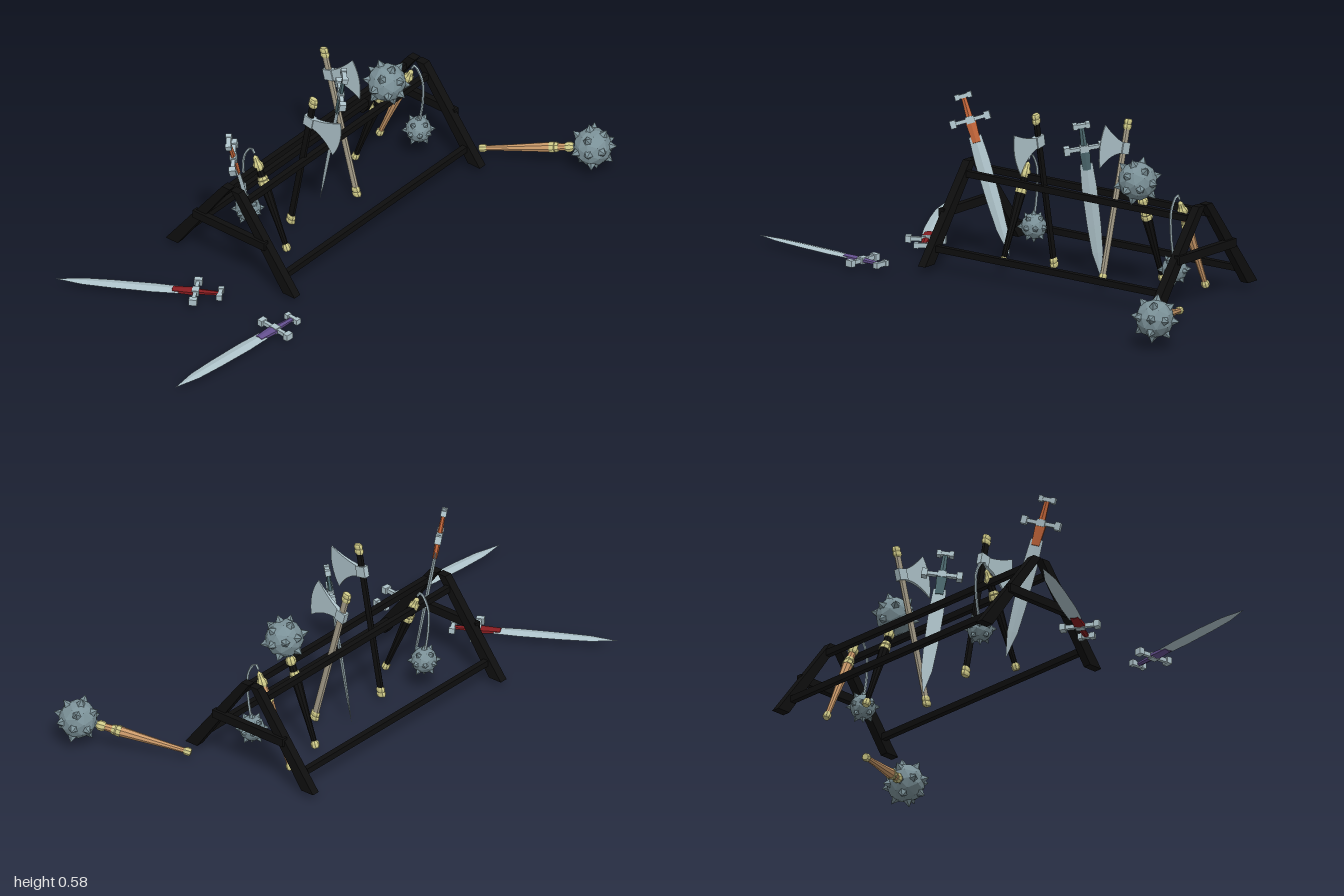
import * as THREE from 'three';

const mat = (name, color) => {
  const m = new THREE.MeshStandardMaterial({ color, flatShading: true, side: THREE.DoubleSide });
  m.name = name;
  return m;
};
const black = mat('black', 0x0e0e0e), gold = mat('brass', 0xcfca88), iron = mat('iron', 0x7b9198);
const steel = mat('steel', 0xaec3ca), taupe = mat('taupe wood', 0xa69e8a), tan = mat('tan wood', 0xcb9a6a);
const orange = mat('orange grip', 0xc4663a), red = mat('red grip', 0x861c20);
const purple = mat('purple grip', 0x64508f), teal = mat('teal grip', 0x4d6a70);

const V = (x, y, z) => new THREE.Vector3(x, y, z);

function add(parent, name, geo, material, x = 0, y = 0, z = 0) {
  const m = new THREE.Mesh(geo, material);
  m.name = name;
  m.position.set(x, y, z);
  parent.add(m);
  return m;
}

const box = (w, h, d) => new THREE.BoxGeometry(w, h, d);

// Turned part along +y; depth squashes it in z
function turned(profile, sides, depth = 1) {
  const g = new THREE.LatheGeometry(profile.map(([r, y]) => new THREE.Vector2(r, y)), sides);
  g.scale(1, 1, depth);
  return g;
}

// Stands a group's origin at one point with +y towards another, +x near the hint
function place(group, from, to, hint) {
  const y = to.clone().sub(from).normalize();
  const x = hint.clone().addScaledVector(y, -hint.dot(y)).normalize();
  const z = x.clone().cross(y);
  group.quaternion.setFromRotationMatrix(new THREE.Matrix4().makeBasis(x, y, z));
  group.position.copy(from);
  return group;
}

// A-frame rack
function rack() {
  const g = new THREE.Group();
  g.name = 'rack';
  const midZ = -0.125;
  for (const x of [-0.32, 0.665]) {
    for (const s of [1, -1]) {
      const shape = new THREE.Shape([[0.282, 0.03], [0.036, 0.352], [0.002, 0.352], [0.23, 0.03]]
        .map(([z, y]) => new THREE.Vector2(midZ + s * z, y)));
      const leg = new THREE.ExtrudeGeometry(shape, { depth: 0.03, bevelEnabled: false });
      leg.translate(0, 0, -0.015);
      leg.rotateY(-Math.PI / 2);
      add(g, 'leg', leg, black, x);
    }
    add(g, 'crossbar', box(0.022, 0.03, 0.312), black, x + (x < 0 ? -0.014 : 0.014), 0.19, midZ);
  }
  for (const [y, dz] of [[0.083, 0.215], [0.31, 0.048]])
    for (const s of [1, -1])
      add(g, 'rail', box(0.985, 0.022, 0.02), black, 0.1725, y, midZ + s * dz);
  return g;
}

// Sword: pommel at the origin, point at +y, guard along x
function sword(name, gripMat) {
  const g = new THREE.Group();
  g.name = name;
  add(g, 'blade', turned([[0, 0.15], [0.022, 0.15], [0.026, 0.24], [0.024, 0.38], [0.019, 0.48], [0, 0.575]], 4, 0.25), steel);
  add(g, 'grip', turned([[0, 0.008], [0.009, 0.01], [0.013, 0.09]], 6, 0.7), gripMat);
  add(g, 'sleeve', turned([[0, 0.095], [0.021, 0.1], [0.016, 0.172], [0, 0.176]], 6, 0.5), gripMat);
  add(g, 'guardBlock', box(0.03, 0.024, 0.022), steel, 0, 0.093);
  add(g, 'guardBar', box(0.125, 0.013, 0.014), steel, 0, 0.093);
  add(g, 'pommelBar', box(0.05, 0.014, 0.016), steel, 0, 0.009);
  for (const s of [1, -1]) {
    add(g, 'guardEnd', box(0.02, 0.028, 0.023), steel, s * 0.06, 0.093);
    add(g, 'pommelEnd', box(0.015, 0.02, 0.02), steel, s * 0.022, 0.009);
  }
  return g;
}

// Axe: foot at the origin, blade towards +x
function axe(name, staffMat) {
  const g = new THREE.Group(), top = 0.567;
  g.name = name;
  add(g, 'staff', turned([[0.0135, 0.02], [0.0135, top - 0.02]], 8, 0.6), staffMat);
  for (const y of [0, top - 0.036])
    add(g, 'cap', turned([[0, y], [0.015, y], [0.019, y + 0.007], [0.019, y + 0.014], [0.016, y + 0.018],
      [0.018, y + 0.024], [0.018, y + 0.03], [0.014, y + 0.036], [0, y + 0.036]], 8, 0.62), gold);
  const s = new THREE.Shape();
  s.moveTo(0.008, -0.082);
  s.quadraticCurveTo(0.055, -0.075, 0.124, -0.028);
  s.quadraticCurveTo(0.15, -0.1, 0.117, -0.177);
  s.quadraticCurveTo(0.07, -0.12, 0.008, -0.118);
  const head = new THREE.ExtrudeGeometry(s, { depth: 0.01, bevelEnabled: false, curveSegments: 6 });
  // Thin the head towards its cutting edge
  const p = head.attributes.position;
  for (let i = 0; i < p.count; i++)
    p.setZ(i, (p.getZ(i) - 0.005) * (1.6 - 10 * p.getX(i)));
  add(g, 'head', head, steel, 0, top);
  add(g, 'socket', box(0.038, 0.04, 0.022), steel, 0, top - 0.1);
  return g;
}

// Shared handle of maces and flails, foot at the origin
function handle(g, woodMat) {
  add(g, 'handle', turned([[0.009, 0.02], [0.011, 0.1], [0.018, 0.252]], 8), woodMat);
  add(g, 'neck', turned([[0.014, 0.275], [0.012, 0.31]], 8), woodMat);
  add(g, 'footCap', turned([[0, 0], [0.011, 0], [0.0145, 0.006], [0.0145, 0.018], [0.01, 0.026], [0, 0.026]], 8), gold);
  add(g, 'lowerCollar', turned([[0, 0.248], [0.02, 0.25], [0.02, 0.262], [0.017, 0.266], [0.019, 0.27], [0.016, 0.281], [0, 0.282]], 8), gold);
  add(g, 'upperCollar', turned([[0, 0.304], [0.014, 0.305], [0.018, 0.312], [0.018, 0.326], [0.012, 0.335], [0.009, 0.352], [0, 0.362]], 8), gold);
}

// Spiked ball with spikes on its faces and edges directions
function spikedBall(core, reach) {
  const g = new THREE.Group();
  g.name = 'spikedBall';
  add(g, 'ball', new THREE.IcosahedronGeometry(core, 1), iron);
  const base = core * 0.88, h = reach - base;
  for (let x = -1; x <= 1; x++) for (let y = -1; y <= 1; y++) for (let z = -1; z <= 1; z++) {
    const n = Math.abs(x) + Math.abs(y) + Math.abs(z);
    if (n !== 1 && n !== 2) continue;
    const d = V(x, y, z).normalize();
    const c = add(g, 'spike', new THREE.ConeGeometry(core * 0.27, h, 5), iron);
    c.quaternion.setFromUnitVectors(V(0, 1, 0), d);
    c.position.copy(d.multiplyScalar(base + h / 2));
  }
  return g;
}

function mace(name, woodMat) {
  const g = new THREE.Group();
  g.name = name;
  handle(g, woodMat);
  const ball = spikedBall(0.067, 0.086);
  ball.position.y = 0.402;
  g.add(ball);
  return g;
}

// Flail leaning in the rack; s is the side its head hangs on (+1 front, -1 back)
function flail(name, woodMat, x, s) {
  const g = new THREE.Group(), mid = -0.14;
  g.name = name;
  const grip = new THREE.Group();
  grip.name = 'flailHandle';
  handle(grip, woodMat);
  g.add(place(grip, V(x, 0.028, mid - s * 0.098), V(x, 0.36, mid + s * 0.048), V(1, 0, 0)));
  const path = new THREE.CatmullRomCurve3([[0.047, 0.365], [0.06, 0.382], [0.092, 0.335], [0.094, 0.25], [0.08, 0.16]]
    .map(([z, y]) => V(x, y, mid + s * z)));
  add(g, 'chain', new THREE.TubeGeometry(path, 14, 0.0045, 5), steel);
  const ball = spikedBall(0.045, 0.059);
  ball.position.set(x, 0.126, mid + s * 0.076);
  g.add(ball);
  return g;
}

export function createModel() {
  const g = new THREE.Group();
  g.name = 'weaponRack';
  g.add(rack());

  // Swords in the rack and on the ground
  g.add(place(sword('orangeSword', orange), V(-0.357, 0.574, -0.115), V(-0.163, 0.025, -0.13), V(0.1, 0.04, -0.075)));
  g.add(place(sword('tealSword', teal), V(0.195, 0.572, -0.06), V(0.195, 0, -0.17), V(0.1, 0, -0.105)));
  g.add(place(sword('purpleSword', purple), V(-0.427, 0.036, 0.232), V(-1, 0.036, 0.182), V(0, 0, 1)));
  g.add(place(sword('redSword', red), V(-0.473, 0.036, -0.043), V(-0.765, 0.036, -0.537), V(1, 0, 0)));

  // Axes
  g.add(place(axe('blackAxe', black), V(0.012, 0.02, -0.148), V(0.012, 0.585, -0.042), V(0, 0, 1)));
  g.add(place(axe('taupeAxe', taupe), V(0.275, 0.02, -0.07), V(0.275, 0.58, -0.222), V(0, 0, 1)));

  // Maces, one in the rack and one on the ground
  g.add(place(mace('blackMace', black), V(0.43, 0.03, -0.21), V(0.43, 0.42, -0.065), V(1, 0, 0)));
  g.add(place(mace('tanMace', tan), V(0.735, 0.037, 0.085), V(0.908, 0.112, 0.446), V(1, 0, 0)));

  // Flails
  g.add(flail('blackFlail', black, -0.13, -1));
  g.add(flail('tanFlail', tan, 0.593, 1));
  return g;
}
